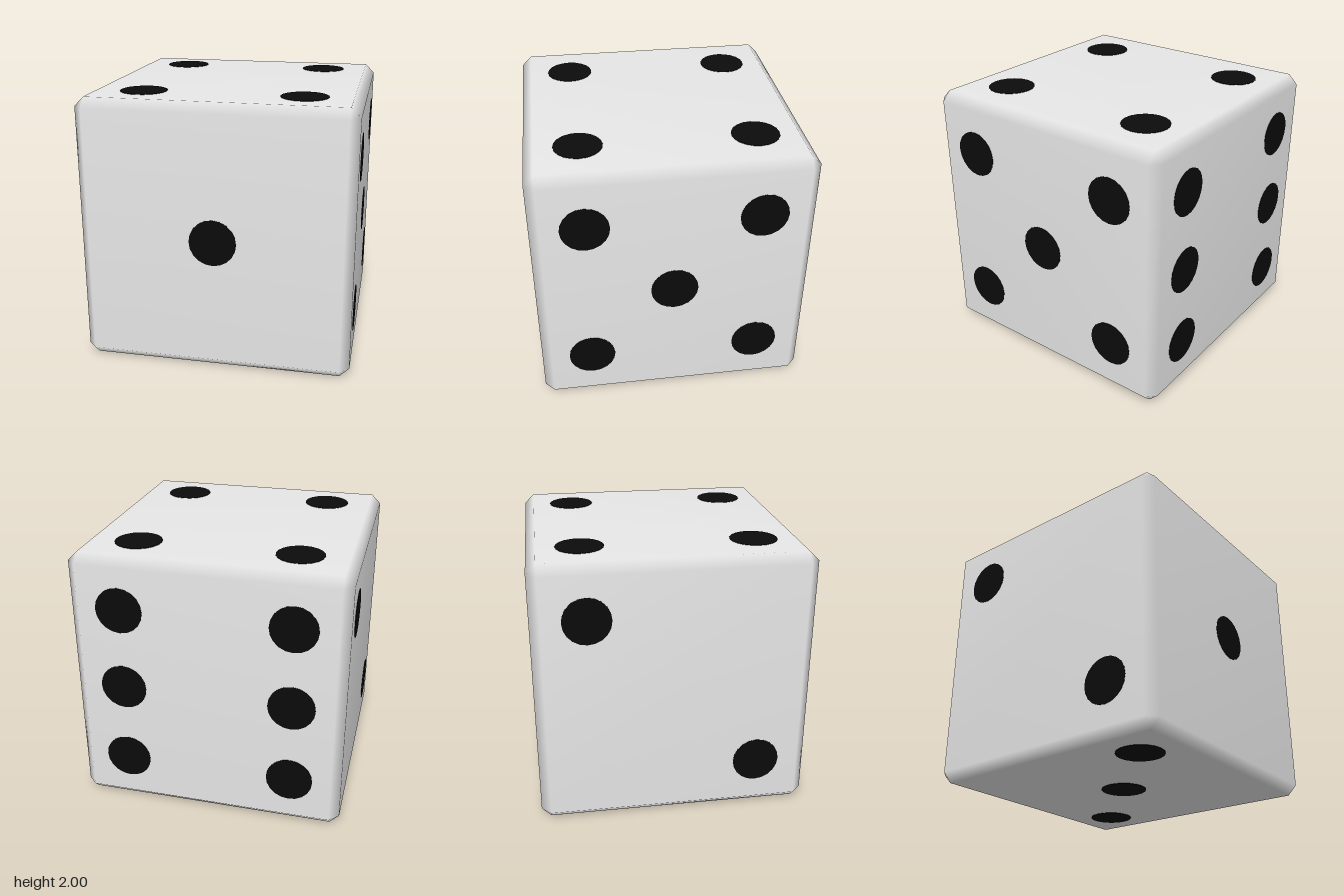
import * as THREE from 'three';
import { ConvexGeometry } from 'three/addons/geometries/ConvexGeometry.js';
import { mergeVertices } from 'three/addons/utils/BufferGeometryUtils.js';

const HALF = 0.997;      // half the body, the pips stand just proud of it
const BEVEL = 0.07;
const PIP_RADIUS = 0.172;
const PIP_DEPTH = 0.008;

// Cube with chamfered edges and corners, smooth-shaded across the bevels
function bevelledCube() {
  const points = [];
  const inner = HALF - BEVEL;
  for (const x of [-1, 1]) for (const y of [-1, 1]) for (const z of [-1, 1]) {
    points.push(
      new THREE.Vector3(x * HALF, y * inner, z * inner),
      new THREE.Vector3(x * inner, y * HALF, z * inner),
      new THREE.Vector3(x * inner, y * inner, z * HALF)
    );
  }
  const hull = new ConvexGeometry(points);
  hull.deleteAttribute('normal');
  const geometry = mergeVertices(hull);
  geometry.computeVertexNormals();
  return geometry;
}

export function createModel() {
  const white = new THREE.MeshStandardMaterial({ name: 'offWhite', color: 0xe7e7e7 });
  const black = new THREE.MeshStandardMaterial({ name: 'black', color: 0x0b0b0b });

  const die = new THREE.Group();
  die.name = 'die';

  const body = new THREE.Mesh(bevelledCube(), white);
  body.name = 'body';
  body.position.y = 1;
  die.add(body);

  // Pip disc facing +z
  const pipGeometry = new THREE.CylinderGeometry(PIP_RADIUS, PIP_RADIUS, PIP_DEPTH, 20);
  pipGeometry.rotateX(Math.PI / 2);

  const q = Math.PI / 2;
  const corners = (a, b) => [[-a, b], [a, b], [-a, -b], [a, -b]];

  // Each face: name, rotation about x and y, pip centres in the face plane
  const faces = [
    ['frontOne', 0, 0, [[0, 0]]],
    ['backSix', 0, Math.PI, [...corners(0.62, 0.61), [-0.62, 0], [0.62, 0]]],
    ['leftFive', 0, q, [...corners(0.62, 0.585), [0, -0.005]]],
    ['rightTwo', 0, -q, [[-0.61, 0.6], [0.61, -0.6]]],
    ['topFour', -q, 0, corners(0.585, 0.62)],
    ['bottomThree', q, 0, [[0.61, -0.61], [0, 0], [-0.61, 0.61]]],
  ];

  for (const [name, rx, ry, spots] of faces) {
    const face = new THREE.Group();
    face.name = name;
    face.position.y = 1;
    face.rotation.set(rx, ry, 0);
    for (const [u, v] of spots) {
      const pip = new THREE.Mesh(pipGeometry, black);
      pip.name = 'pip';
      pip.position.set(u, v, 1 - PIP_DEPTH / 2);
      face.add(pip);
    }
    die.add(face);
  }
  return die;
}
